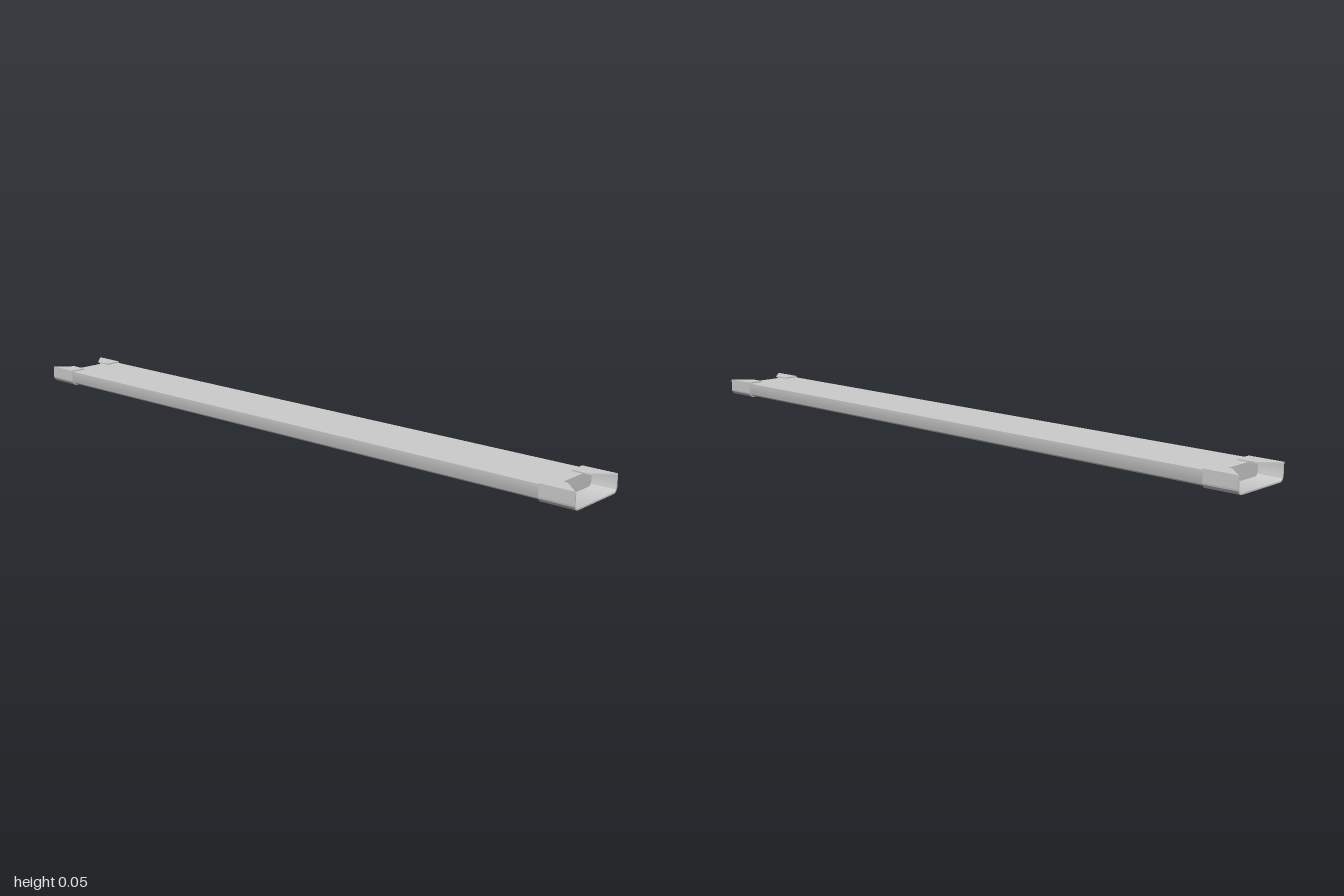
import * as THREE from 'three';
import { toCreasedNormals } from 'three/addons/utils/BufferGeometryUtils.js';

const TOP = 0.05, HALF = 0.1, WALL = 0.004, RADIUS = 0.016;
const CLIP_IN = 0.9, BAR_END = 0.93;

// Tray-shaped outline (flat top, rounded bottom corners), inset by t
function trayPoints(t) {
  const w = HALF - t, r = RADIUS - t, top = TOP - WALL;
  const path = new THREE.Path();
  path.moveTo(-w, top);
  path.lineTo(-w, t + r);
  path.absarc(-w + r, t + r, r, Math.PI, Math.PI * 1.5, false);
  path.lineTo(w - r, t);
  path.absarc(w - r, t + r, r, Math.PI * 1.5, Math.PI * 2, false);
  path.lineTo(w, top);
  return path.getPoints(8);
}

// Extrude a cross-section along x
function extrudeAlongX(points, x0, x1) {
  const geo = new THREE.ExtrudeGeometry(new THREE.Shape(points), { depth: x1 - x0, bevelEnabled: false });
  geo.rotateY(Math.PI / 2).translate(x0, 0, 0);
  return toCreasedNormals(geo, 0.6);
}

export function createModel() {
  const model = new THREE.Group();
  const material = new THREE.MeshStandardMaterial({ color: 0xcccccc });
  const add = (parent, name, geo) => {
    const mesh = new THREE.Mesh(geo, material);
    mesh.name = name;
    parent.add(mesh);
  };

  // Solid long bar
  add(model, 'bar', extrudeAlongX(trayPoints(WALL), -BAR_END, BAR_END));

  // Thin U-shaped clip with two folded top flaps at each end
  const channel = [...trayPoints(0), ...trayPoints(WALL).reverse()];
  for (const [name, turn] of [['leftEndClip', 0], ['rightEndClip', Math.PI]]) {
    const clip = new THREE.Group();
    clip.name = name;
    clip.rotation.y = turn;
    add(clip, 'clipChannel', extrudeAlongX(channel, CLIP_IN, 1));
    for (const s of [1, -1]) {
      // Flap with a mitred outer corner
      const outline = [[CLIP_IN, HALF], [1, HALF], [0.95, 0.05], [CLIP_IN, 0.05]]
        .map(([x, z]) => new THREE.Vector2(x, s * z));
      const flap = new THREE.ExtrudeGeometry(new THREE.Shape(outline), { depth: WALL, bevelEnabled: false });
      flap.rotateX(Math.PI / 2).translate(0, TOP, 0);
      add(clip, s > 0 ? 'frontFlap' : 'backFlap', flap);
    }
    model.add(clip);
  }
  return model;
}
